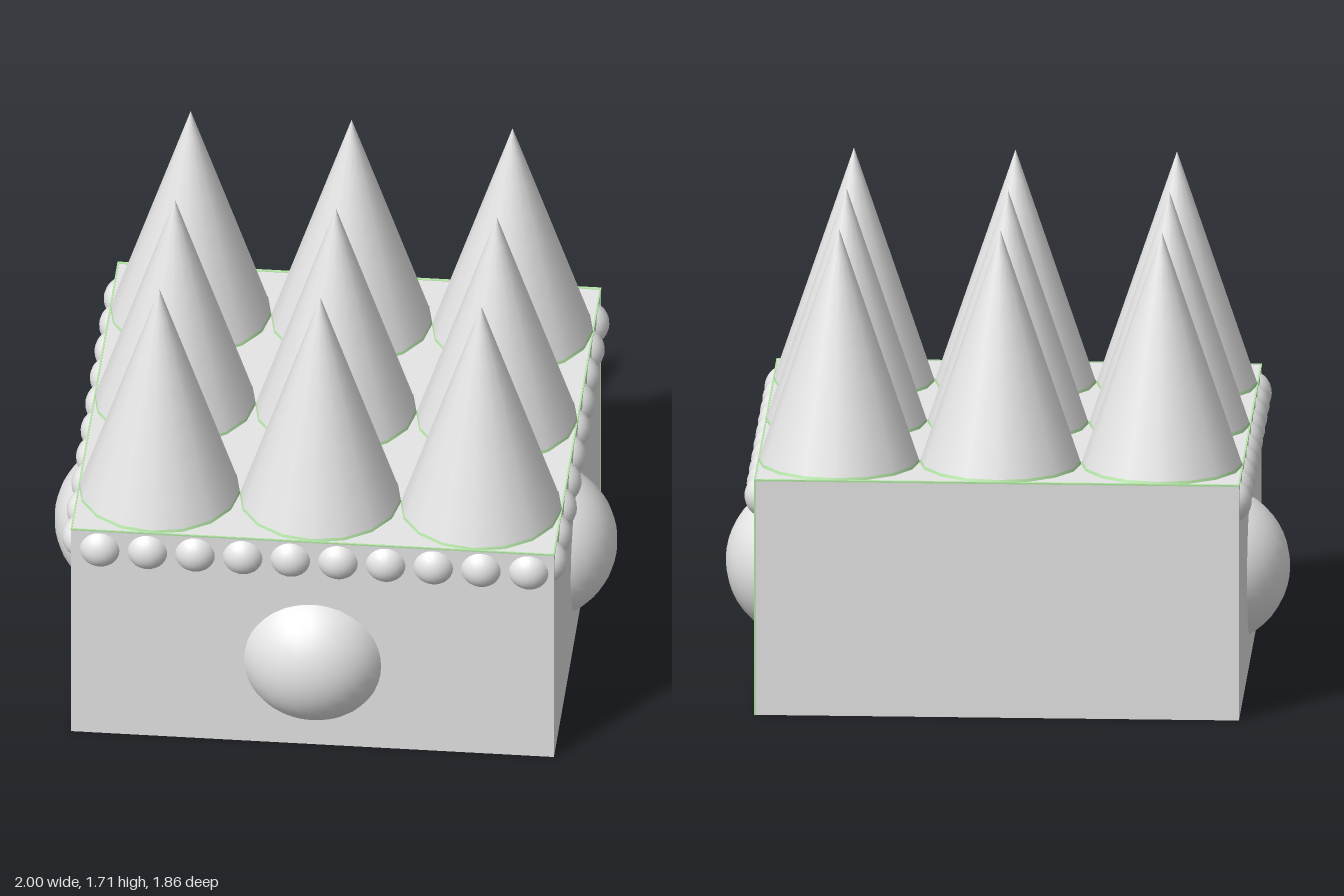
import * as THREE from 'three';

export function createModel() {
  const model = new THREE.Group();
  const grey = new THREE.MeshStandardMaterial({ color: 0xe5e5e5 });
  grey.name = 'light grey';
  const green = new THREE.MeshStandardMaterial({ color: 0xb4e6a6 });
  green.name = 'pale green';

  const half = 0.857;      // half width of the square block
  const top = 0.857;       // height of the block
  const midZ = -0.071;     // block centre, front to back
  const frontZ = midZ + half;
  const backZ = midZ - half;

  const add = (name, geometry, x, y, z, parent = model, material = grey) => {
    const mesh = new THREE.Mesh(geometry, material);
    mesh.name = name;
    mesh.position.set(x, y, z);
    parent.add(mesh);
    return mesh;
  };
  const group = (name) => {
    const g = new THREE.Group();
    g.name = name;
    model.add(g);
    return g;
  };

  // Square block
  add('block', new THREE.BoxGeometry(2 * half, top, 2 * half), 0, top / 2, midZ);

  // Hairline green trim along the top edges and the back left corner
  const trim = group('edgeTrim');
  const t = 0.006;
  const sideTrim = new THREE.BoxGeometry(t, t, 2 * half);
  for (const s of [-1, 1])
    add('sideTrim', sideTrim, s * (half - 0.001), top - 0.001, midZ, trim, green);
  add('frontTrim', new THREE.BoxGeometry(2 * half, t, t), 0, top - 0.001, frontZ - 0.001, trim, green);
  add('backTrim', new THREE.BoxGeometry(2 * half, t, 0.012), 0, top - 0.001, backZ + 0.005, trim, green);
  add('cornerTrim', new THREE.BoxGeometry(t, top, t), half - 0.002, top / 2, backZ + 0.002, trim, green);

  // Three by three spikes, open underneath, each with a thin green rim at its foot
  const spikes = group('spikes');
  const radius = 0.2857, height = 0.848, rimHeight = 0.01;
  const spike = new THREE.ConeGeometry(radius, height, 16, 8, true);
  const rimTop = radius * (1 - rimHeight / height);
  const rim = new THREE.CylinderGeometry(rimTop + 0.001, radius + 0.001, rimHeight, 16, 1, true);
  for (let i = -1; i <= 1; i++)
    for (let j = -1; j <= 1; j++) {
      const x = i * 0.5714, z = midZ + j * 0.5714;
      add('spike', spike, x, top + height / 2, z, spikes);
      add('spikeRim', rim, x, top + rimHeight / 2, z, spikes, green);
    }

  // Large domes: spheres sunk by half a radius into the front and sides
  const domes = group('domes');
  const dome = new THREE.SphereGeometry(0.2835, 32, 24);
  add('frontDome', dome, 0, 0.346, frontZ - 0.143, domes);
  for (const s of [-1, 1])
    add(s > 0 ? 'leftDome' : 'rightDome', dome, s * (half - 0.142), 0.346, midZ, domes);

  // Rows of ten small studs below the top edge
  const studs = group('studs');
  const stud = new THREE.SphereGeometry(0.0813, 24, 16);
  for (let i = 0; i < 10; i++) {
    add('frontStud', stud, -0.756 + i * 0.1692, 0.775, frontZ - 0.0408, studs);
    for (const s of [-1, 1])
      add('sideStud', stud, s * (half - 0.0408), 0.775, 0.701 - i * 0.1693, studs);
  }

  return model;
}
